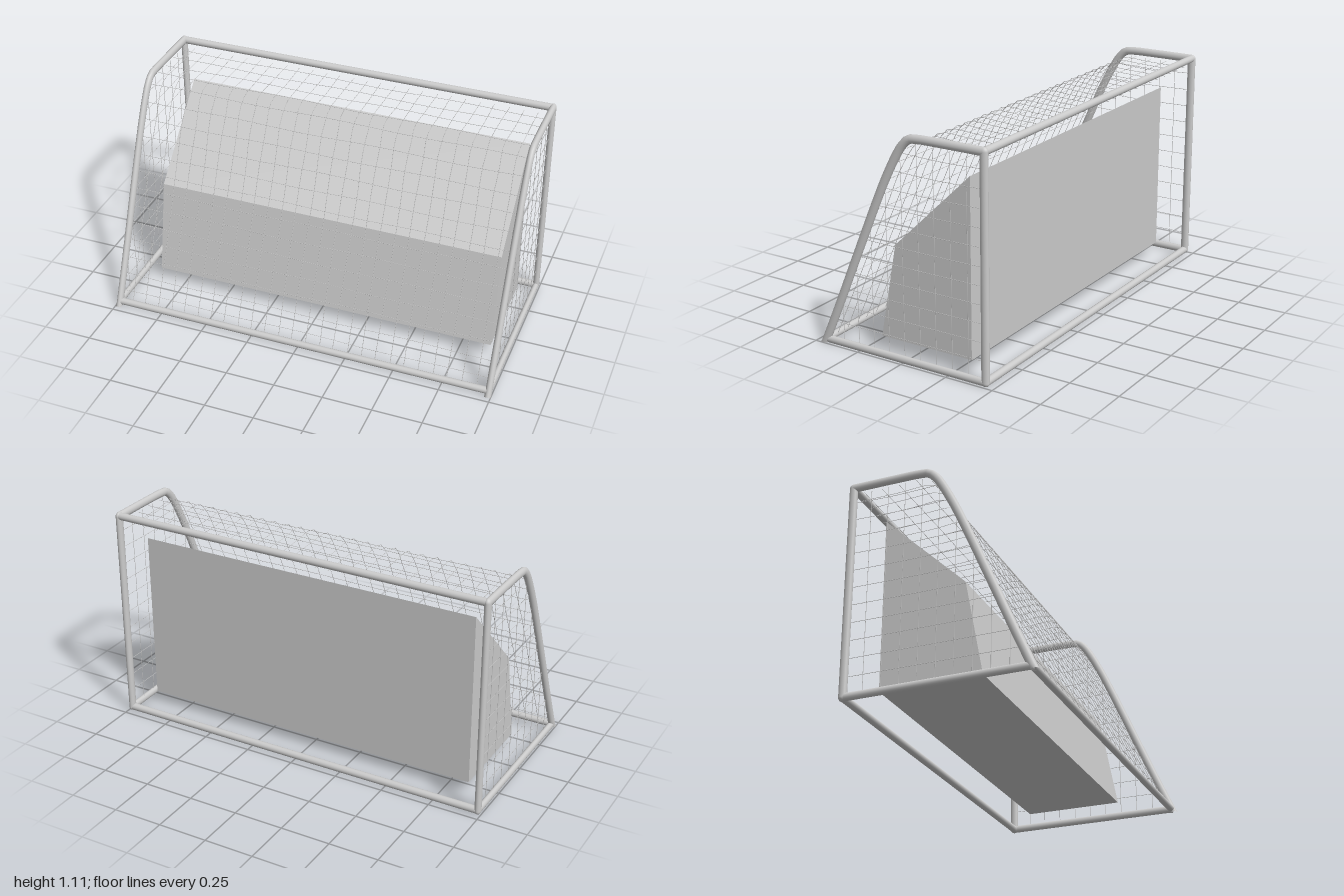
import * as THREE from 'three';
import { mergeGeometries } from 'three/addons/utils/BufferGeometryUtils.js';

const V = (x, y, z) => new THREE.Vector3(x, y, z);
const grey = new THREE.MeshStandardMaterial({ color: 0xcccccc });
const flatGrey = new THREE.MeshStandardMaterial({ color: 0xcccccc, flatShading: true });
const netGrey = new THREE.MeshStandardMaterial({ color: 0xcccccc, side: THREE.DoubleSide });

const SIDE_X = 0.984, BACK_Z = -0.456, TOP_Y = 1.091, LOW_Y = 0.022;

function mesh(name, geometry, material = grey) {
  const m = new THREE.Mesh(geometry, material);
  m.name = name;
  return m;
}

// Straight round bar between two points
function bar(name, a, b, r) {
  const dir = b.clone().sub(a);
  const m = mesh(name, new THREE.CylinderGeometry(r, r, dir.length(), 16));
  m.position.copy(a).add(b).multiplyScalar(0.5);
  m.quaternion.setFromUnitVectors(V(0, 1, 0), dir.normalize());
  return m;
}

// One side: sloping bent tube, base rail, rear post and rounded rear corners
function sideFrame(name, x) {
  const g = new THREE.Group();
  g.name = name;
  const path = new THREE.CatmullRomCurve3([
    [0.466, -0.03], [0.36, 0.21], [0.24, 0.49], [0.118, 0.772], [0.066, 0.885], [0.005, 1.0],
    [-0.03, 1.052], [-0.066, 1.083], [-0.11, 1.089], [-0.25, 1.091], [BACK_Z, TOP_Y],
  ].map(([z, y]) => V(0, y, z)), false, 'centripetal');
  const tube = new THREE.TubeGeometry(path, 60, 0.021, 16);
  // flatten the foot where it meets the ground
  const p = tube.attributes.position;
  for (let i = 0; i < p.count; i++) {
    p.setY(i, Math.max(p.getY(i), 0.003));
    p.setZ(i, Math.min(p.getZ(i), 0.474));
  }
  g.add(mesh('slopingTube', tube));
  g.add(bar('baseRail', V(0, LOW_Y, 0.45), V(0, LOW_Y, BACK_Z), 0.019));
  g.add(bar('rearPost', V(0, LOW_Y, BACK_Z), V(0, TOP_Y, BACK_Z), 0.0205));
  for (const y of [LOW_Y, TOP_Y]) {
    const ball = mesh('rearCorner', new THREE.SphereGeometry(0.0205, 16, 12));
    ball.position.set(0, y, BACK_Z);
    g.add(ball);
  }
  g.position.x = x;
  g.scale.x = 0.78;
  return g;
}

// Net outline in (z, y): up the slope and back over the roof
const netOutline = [
  [0.428, 0.03], [0.255, 0.42], [0.1, 0.762], [0.045, 0.885], [-0.012, 0.99],
  [-0.045, 1.035], [-0.082, 1.063], [-0.25, 1.06], [-0.445, 1.055],
].map(([z, y]) => V(0, y, z));

// Read the outline: value of one axis where the other reaches v
function outlineAt(v, from, to) {
  for (let i = 1; i < netOutline.length; i++) {
    const a = netOutline[i - 1], b = netOutline[i];
    const t = (v - a[from]) / (b[from] - a[from]);
    if (t >= 0 && t <= 1) return a[to] + (b[to] - a[to]) * t;
  }
  return netOutline[0][to];
}

const cord = (points, segments) =>
  new THREE.TubeGeometry(new THREE.CatmullRomCurve3(points), segments, 0.0014, 4);

function frontAndRoofNet() {
  const cords = [];
  // cords running up the slope and over the roof
  for (let i = -13; i <= 12; i++) {
    const x = 0.0365 + i * 0.0735;
    cords.push(cord(netOutline.map((q, k) => V(x + 0.003 * Math.sin(k * 1.9 + i * 2.3), q.y, q.z)), 32));
  }
  // cords running from side to side, slightly uneven
  const path = new THREE.CurvePath();
  for (let i = 1; i < netOutline.length; i++) {
    path.add(new THREE.LineCurve3(netOutline[i - 1], netOutline[i]));
  }
  const rows = 17;
  for (let j = 0; j < rows; j++) {
    const q = path.getPointAt((j + 0.5) / rows);
    const pts = [];
    for (let k = 0; k <= 12; k++) {
      const w = 0.003 * Math.sin(k * 1.3 + j * 2.1);
      pts.push(V(-0.978 + k * 0.163, q.y + w, q.z - w * 0.45));
    }
    cords.push(cord(pts, 24));
  }
  return mesh('frontAndRoofNet', mergeGeometries(cords), netGrey);
}

function sideNet(name, x) {
  const cords = [];
  for (let i = 0; i < 9; i++) {
    const z = 0.34 - i * 0.0878;
    cords.push(cord([V(x, 0.03, z), V(x, outlineAt(z, 'z', 'y'), z)], 2));
  }
  for (let j = 0; j < 11; j++) {
    const y = 0.12 + j * 0.0892;
    const z = outlineAt(y, 'y', 'z');
    const sag = 0.0006 * j;
    cords.push(cord([V(x, y, z), V(x, y - sag, (z + BACK_Z) / 2), V(x, y, BACK_Z)], 6));
  }
  return mesh(name, mergeGeometries(cords), netGrey);
}

// Solid block inside the net, with a bevelled front
function innerBlock() {
  const shape = new THREE.Shape([
    [-0.17, 0.072], [-0.08, 0.542], [0.334, 0.942], [0.334, 0.072],
  ].map(([u, y]) => new THREE.Vector2(u, y)));
  const geo = new THREE.ExtrudeGeometry(shape, { depth: 1.79, bevelEnabled: false });
  geo.rotateY(Math.PI / 2); // profile u becomes -z, depth becomes +x
  geo.translate(-0.878, 0, 0);
  return mesh('innerBlock', geo, flatGrey);
}

export function createModel() {
  const model = new THREE.Group();
  model.name = 'goal';
  for (const [side, s] of [['left', 1], ['right', -1]]) {
    model.add(sideFrame(side + 'Frame', s * SIDE_X));
    model.add(sideNet(side + 'Net', s * 0.98));
  }
  // Bars joining the two sides
  const across = (name, y, z, r) => bar(name, V(-SIDE_X, y, z), V(SIDE_X, y, z), r);
  model.add(across('rearTopBar', TOP_Y, BACK_Z, 0.0185));
  model.add(across('rearBaseBar', LOW_Y, BACK_Z, 0.0185));
  model.add(across('frontBaseBar', LOW_Y, 0.443, 0.0175));
  model.add(frontAndRoofNet());
  model.add(innerBlock());
  return model;
}
